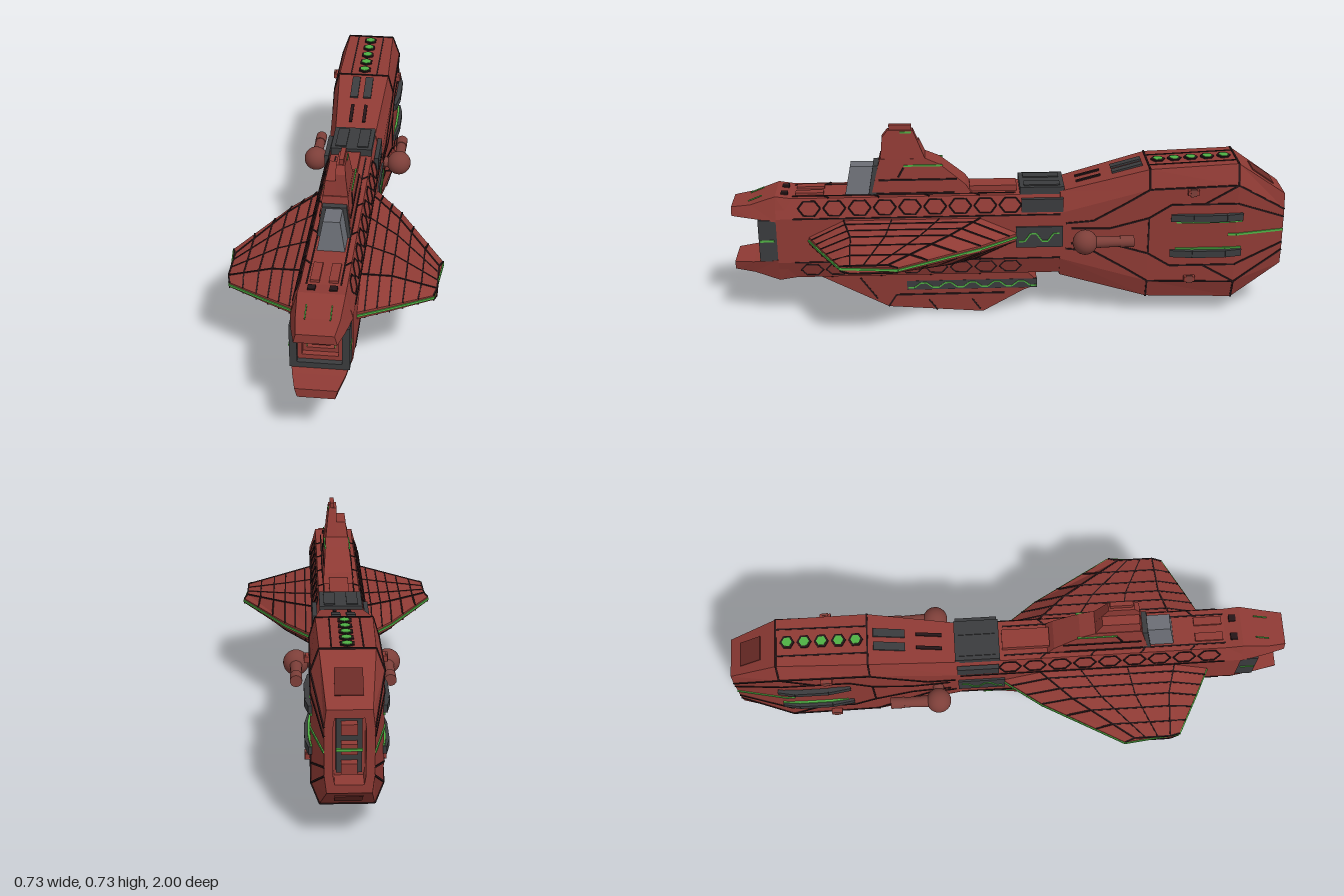
import * as THREE from 'three';
import { mergeGeometries } from 'three/addons/utils/BufferGeometryUtils.js';

const C = 0.325; // height of the hull axis; parts are built around it
const material = (name, color) => {
  const m = new THREE.MeshStandardMaterial({ color });
  m.name = name;
  return m;
};

// Flat-shaded copy whose faces point outwards
function flat(geo) {
  const g = geo.index ? geo.toNonIndexed() : geo.clone();
  g.deleteAttribute('uv');
  const p = g.attributes.position;
  const a = new THREE.Vector3(), b = new THREE.Vector3(), c = new THREE.Vector3();
  let volume = 0;
  for (let i = 0; i < p.count; i += 3) {
    a.fromBufferAttribute(p, i); b.fromBufferAttribute(p, i + 1); c.fromBufferAttribute(p, i + 2);
    volume += a.dot(b.cross(c));
  }
  if (volume < 0) for (let i = 0; i < p.count; i += 3) {
    b.fromBufferAttribute(p, i + 1); c.fromBufferAttribute(p, i + 2);
    p.setXYZ(i + 1, c.x, c.y, c.z); p.setXYZ(i + 2, b.x, b.y, b.z);
  }
  g.computeVertexNormals();
  return g;
}

// Closed skin through rings of [x, y, z] points
function loft(rings) {
  const pos = [], n = rings[0].length, last = rings[rings.length - 1];
  for (let i = 0; i < rings.length - 1; i++) for (let j = 0; j < n; j++) {
    const k = (j + 1) % n, r = rings[i], s = rings[i + 1];
    pos.push(...r[j], ...s[j], ...r[k], ...r[k], ...s[j], ...s[k]);
  }
  for (let j = 1; j < n - 1; j++) {
    pos.push(...rings[0][0], ...rings[0][j], ...rings[0][j + 1]);
    pos.push(...last[0], ...last[j + 1], ...last[j]);
  }
  const g = new THREE.BufferGeometry();
  g.setAttribute('position', new THREE.Float32BufferAttribute(pos, 3));
  return flat(g);
}
const octagon = (w, sy, cx, hy, z) =>
  [[w, -sy, z], [w, sy, z], [cx, hy, z], [-cx, hy, z], [-w, sy, z], [-w, -sy, z], [-cx, -hy, z], [cx, -hy, z]];

// Side profile of [z, y] points between x0 and x1, which are functions of y
function prism(profile, x0, x1) {
  const g = new THREE.ExtrudeGeometry(new THREE.Shape(profile.map(p => new THREE.Vector2(...p))),
    { depth: 1, bevelEnabled: false }).rotateY(-Math.PI / 2);
  const p = g.attributes.position;
  for (let i = 0; i < p.count; i++) {
    const y = p.getY(i), t = -p.getX(i);
    p.setXYZ(i, x0(y) + (x1(y) - x0(y)) * t, y - C, p.getZ(i));
  }
  return flat(g);
}
const taper = (yA, wA, yB, wB) => y => wA + (wB - wA) * (y - yA) / (yB - yA);

const box = (x, y, z, w, h, d) => flat(new THREE.BoxGeometry(w, h, d).translate(x, y, z));
// Box laid from point p to point q
function bar(p, q, w = 0.006, h = w) {
  const a = new THREE.Vector3(...p), b = new THREE.Vector3(...q);
  const m = new THREE.Matrix4().lookAt(a, b, new THREE.Vector3(0, 1, 0));
  m.setPosition(a.clone().add(b).multiplyScalar(0.5));
  return flat(new THREE.BoxGeometry(w, h, a.distanceTo(b)).applyMatrix4(m));
}
const line = (pts, w, h) => pts.slice(1).map((q, i) => bar(pts[i], q, w, h));
const zigzag = (n, f) => Array.from({ length: n }, (_, i) => f(i, [-1, -1, 1, 1][i % 4]));
const sides = list => list.flatMap(g => [g, flat(g.clone().scale(-1, 1, 1))]);
const quad = list => sides(list).flatMap(g => [g, flat(g.clone().scale(1, -1, 1))]);
function frame(w, h, iw, ih, z, d) {
  const rect = (P, a, b) => new P([[-a, -b], [a, -b], [a, b], [-a, b]].map(p => new THREE.Vector2(...p)));
  const s = rect(THREE.Shape, w, h);
  s.holes.push(rect(THREE.Path, iw, ih));
  return flat(new THREE.ExtrudeGeometry(s, { depth: d, bevelEnabled: false }).translate(0, 0, z));
}

export function createModel() {
  const red = material('hull red', 0x8e3a34), deep = material('deep red', 0x6a2a26);
  const dark = material('dark grey', 0x3a3b3d), seam = material('seam black', 0x241517);
  const green = material('glow green', 0x4fb044), glass = material('canopy grey', 0x6b6e75);
  const brown = material('turret brown', 0x7d3f39);
  const root = new THREE.Group(), ship = new THREE.Group();
  root.name = 'spaceship'; ship.name = 'ship'; ship.position.y = C;
  root.add(ship);
  const add = (name, mat, list) => {
    const m = new THREE.Mesh(Array.isArray(list) ? mergeGeometries(list) : list, mat);
    m.name = name;
    ship.add(m);
  };

  // Hull and rear block with a recessed stern
  add('mainHull', red, loft([octagon(0.1, 0.085, 0.075, 0.155, 0.84), octagon(0.1, 0.085, 0.075, 0.155, -0.22)]));
  add('rearHull', red, loft([octagon(0.1, 0.09, 0.075, 0.165, -0.18), octagon(0.115, 0.18, 0.095, 0.25, -0.5),
    octagon(0.115, 0.19, 0.088, 0.264, -0.82), octagon(0.077, 0.08, 0.07, 0.138, -1),
    octagon(0.05, 0.08, 0.045, 0.11, -1), octagon(0.05, 0.08, 0.045, 0.11, -0.93)]));
  add('engineCore', dark, [box(0, 0, -0.94, 0.08, 0.18, 0.03)]);
  add('engineBlocks', red, [-0.065, 0, 0.065].map(y => box(0, y, -0.96, 0.05, 0.035, 0.05)));
  add('engineGlow', green, [box(0, 0, -0.985, 0.08, 0.008, 0.01)]);
  add('sternHatches', deep, quad([bar([0.022, 0.223, -0.88], [0.022, 0.167, -0.96], 0.044, 0.006)]));

  // Bow prongs
  const prong = loft([
    [[-0.068, 0.09, 1], [0.068, 0.09, 1], [0.06, 0.122, 1], [-0.06, 0.122, 1]],
    [[-0.085, 0.085, 0.93], [0.085, 0.085, 0.93], [0.07, 0.132, 0.93], [-0.07, 0.132, 0.93]],
    [[-0.1, 0.075, 0.84], [0.1, 0.075, 0.84], [0.076, 0.164, 0.84], [-0.076, 0.164, 0.84]],
    [[-0.1, 0.075, 0.78], [0.1, 0.075, 0.78], [0.075, 0.155, 0.78], [-0.075, 0.155, 0.78]]]);
  add('bowProngs', red, [prong, flat(prong.clone().scale(1, -1, 1))]);
  add('prongLights', green, quad([bar([0.04, 0.136, 0.94], [0.04, 0.156, 0.89], 0.004)]));

  // Stepped bow cannon
  add('cannonFrame', dark, frame(0.096, 0.08, 0.072, 0.06, 0.83, 0.075));
  add('cannonLining', red, [frame(0.073, 0.061, 0.058, 0.044, 0.83, 0.055), frame(0.06, 0.046, 0.045, 0.03, 0.83, 0.035),
    box(0, 0, 0.85, 0.06, 0.045, 0.02)]);
  add('cannonBack', dark, box(0, 0, 0.842, 0.1, 0.07, 0.004));
  add('cannonLights', green, [box(0, 0.042, 0.885, 0.004, 0.03, 0.006),
    ...sides([box(0.097, 0, 0.875, 0.004, 0.008, 0.05), box(0.045, 0, 0.866, 0.003, 0.05, 0.004)])]);

  // Wings: thin rim, thick crest
  const wingRing = (xf, xr, xc, zf, zr, cf, cr, t, e) =>
    [[xf, e, zf], [xc, t, cf], [xc, t, cr], [xr, e, zr], [xr, -e, zr], [xc, -t, cr], [xc, -t, cf], [xf, -e, zf]];
  const wing = [wingRing(0.09, 0.09, 0.09, 0.73, -0.04, 0.6, 0.1, 0.078, 0.014),
    wingRing(0.2, 0.2, 0.2, 0.675, 0.11, 0.57, 0.22, 0.056, 0.012),
    wingRing(0.34, 0.362, 0.35, 0.6, 0.4, 0.565, 0.435, 0.015, 0.009)];
  add('wings', red, sides([loft(wing)]));
  const mix = (a, b, t) => a.map((v, i) => v + (b[i] - v) * t);
  const wingSeams = [];
  for (let i = 0; i < 2; i++) {
    for (const t of [0.3, 0.65, 1]) wingSeams.push(...line([0, 1, 2, 3].map(j => mix(wing[i][j], wing[i + 1][j], t)), 0.005));
    for (const j of [1, 2]) wingSeams.push(bar(wing[i][j], wing[i + 1][j], 0.005));
    for (const s of [0.35, 0.7]) wingSeams.push(bar(mix(wing[i][1], wing[i][2], s), mix(wing[i + 1][1], wing[i + 1][2], s), 0.004));
  }
  add('wingSeams', seam, quad(wingSeams));
  const rim = j => wing.map(r => [r[j][0], 0, r[j][2]]);
  add('wingEdgeLights', green, sides([...line(rim(0), 0.008), ...line(rim(3), 0.008), bar(rim(0)[2], rim(3)[2], 0.008)]));

  // Ventral keel
  const keelW = taper(0, 0.045, 0.17, 0.064);
  add('keel', red, prism([[0.72, 0.18], [0.7, 0.17], [0.45, 0.03], [0.1, 0], [-0.05, 0.09], [-0.1, 0.11], [-0.1, 0.13], [-0.05, 0.18]],
    y => -keelW(y), keelW));
  add('keelBands', dark, sides([box(0.057, 0.12 - C, 0.14, 0.008, 0.036, 0.48)]));
  add('keelLights', green, sides([
    ...line(zigzag(22, (i, s) => [0.061, 0.12 - C + s * 0.009, 0.375 - i * 0.0225]), 0.005),
    bar([0.038, 0.158 - C, 0.68], [0.026, 0.05 - C, 0.487], 0.005)]));
  add('keelSeams', seam, sides([...line([[0.048, 0.03 - C, 0.45], [0.054, 0.08 - C, 0.42], [0.054, 0.08 - C, 0.02]], 0.006),
    bar([0.051, 0.055 - C, 0.3], [0.046, 0.012 - C, 0.27]), bar([0.051, 0.055 - C, 0.14], [0.046, 0.01 - C, 0.11]),
    bar([0.052, 0.065 - C, 0.49], [0.062, 0.155 - C, 0.55])]));

  // Bridge tower, lopsided at the top
  const towerW = taper(0.48, 0.056, 0.61, 0.043), one = v => () => v;
  add('bridgeTower', red, [
    prism([[0.13, 0.47], [0.16, 0.515], [0.25, 0.59], [0.3, 0.612], [0.465, 0.612], [0.5, 0.47]], y => -towerW(y), towerW),
    prism([[0.3, 0.605], [0.345, 0.715], [0.435, 0.715], [0.455, 0.69], [0.462, 0.605]], one(0), taper(0.605, 0.043, 0.715, 0.03)),
    prism([[0.3, 0.605], [0.325, 0.665], [0.455, 0.665], [0.462, 0.605]], taper(0.605, -0.042, 0.665, -0.034), one(0.002)),
    box(0.017, 0.722 - C, 0.39, 0.016, 0.024, 0.08)]);
  add('towerLights', green, [...sides([box(0.046, 0.587 - C, 0.31, 0.006, 0.006, 0.14)]), box(0.031, 0.708 - C, 0.37, 0.004, 0.006, 0.04)]);
  add('towerSeams', seam, sides([bar([0.051, 0.535 - C, 0.19], [0.051, 0.535 - C, 0.47]),
    bar([0.05, 0.545 - C, 0.4], [0.046, 0.58 - C, 0.38]), bar([0.056, 0.485 - C, 0.2], [0.056, 0.485 - C, 0.48])]));
  add('canopyFrame', dark, prism([[0.45, 0.47], [0.45, 0.59], [0.49, 0.585], [0.51, 0.47]], taper(0.47, -0.058, 0.59, -0.04), taper(0.47, 0.058, 0.59, 0.04)));
  add('canopy', glass, prism([[0.46, 0.47], [0.475, 0.58], [0.572, 0.58], [0.592, 0.478], [0.58, 0.47]],
    taper(0.47, -0.048, 0.58, -0.028), taper(0.47, 0.048, 0.58, 0.028)));

  // Deck plates, vents and flank panels
  add('deckBlocks', red, [box(0, 0.163, 0.06, 0.07, 0.026, 0.17), ...sides([box(0.03, 0.158, 0.72, 0.03, 0.012, 0.1)])]);
  add('deckArmour', dark, [box(0, 0.164, -0.115, 0.15, 0.036, 0.16), ...sides([bar([0.092, 0.12, -0.04], [0.092, 0.12, -0.19], 0.016, 0.05),
    box(0.04, 0.18, -0.115, 0.04, 0.012, 0.13)])]);
  add('flankPanels', dark, sides([box(0.101, 0, -0.105, 0.012, 0.08, 0.17)]));
  add('flankLights', green, sides(line(zigzag(8, (i, s) => [0.108, s * 0.015, -0.03 - i * 0.021]), 0.005)));
  add('rampVents', dark, quad([bar([0.025, 0.216, -0.37], [0.025, 0.246, -0.48], 0.03, 0.012)]));
  add('deckHatches', seam, quad([box(0.035, 0.155, 0.81, 0.025, 0.022, 0.025),
    bar([0.025, 0.182, -0.24], [0.025, 0.206, -0.33], 0.012, 0.008)]));

  // Side louvres, thrusters and rear lights
  add('louvres', dark, quad(line([[0.114, 0.07, -0.58], [0.126, 0.07, -0.66], [0.126, 0.07, -0.78], [0.114, 0.07, -0.84]], 0.018, 0.026)));
  add('louvreLights', green, quad([...line([[0.114, 0.052, -0.6], [0.12, 0.052, -0.66], [0.12, 0.052, -0.78], [0.113, 0.052, -0.84]], 0.008, 0.006),
    bar([0.115, 0, -0.79], [0.115, 0, -0.82], 0.008), bar([0.115, 0, -0.82], [0.077, 0, -1], 0.008)]));
  add('thrusterNubs', red, quad([box(0.12, 0.17, -0.655, 0.026, 0.02, 0.04)]));
  add('thrusterTips', brown, quad([box(0.13, 0.17, -0.655, 0.008, 0.028, 0.022)]));
  const hexes = r => [0, 1, 2, 3, 4].flatMap(i => [1, -1].map(s =>
    flat(new THREE.CylinderGeometry(r, r, 0.008, 6).translate(0, s * (0.252 + i * 0.0026 + (0.03 - r) * 0.2), -0.54 - i * 0.06))));
  add('hexSockets', seam, hexes(0.026));
  add('hexLights', green, hexes(0.018));

  // Panel seams on the hull and rear block
  const chamfer = (f, z) => [0.1 - 0.025 * f, 0.085 + 0.07 * f, z];
  const seams = [bar([0.1, 0.085, 0.78], [0.1, 0.085, -0.18], 0.005), bar([0.055, 0.155, 0.78], [0.055, 0.155, -0.02], 0.005)];
  for (let i = 0; i < 9; i++) {
    const z = 0.76 - i * 0.09;
    seams.push(...line([[0.5, 0], [0.85, 0.02], [0.85, 0.06], [0.5, 0.08], [0.15, 0.06], [0.15, 0.02], [0.5, 0]]
      .map(([f, d]) => chamfer(f, z - d)), 0.005));
    if (i % 2) seams.push(bar([0.055, 0.155, z], [0.075, 0.155, z - 0.02], 0.005));
  }
  const flank = (y, z) => [z > -0.5 ? 0.1 + 0.015 * (-0.18 - z) / 0.32 : 0.115, y, z];
  seams.push(...line([flank(0.05, -0.2), flank(0.06, -0.3), flank(0.13, -0.42), flank(0.18, -0.5)]),
    ...line([flank(0, -0.5), flank(0.07, -0.5), flank(0.12, -0.58), flank(0.12, -0.7), flank(0.19, -0.82)]),
    ...line([flank(0.03, -0.22), flank(0.03, -0.36), flank(0.07, -0.5)]),
    ...line([[0.095, 0.25, -0.5], [0.115, 0.18, -0.5], [0.115, 0.19, -0.82], [0.088, 0.264, -0.82], [0, 0.264, -0.82]]),
    bar([0.115, 0.19, -0.82], [0.077, 0.08, -1]), bar([0.115, 0.12, -0.82], [0.077, 0.05, -1]),
    bar([0.115, 0.12, -0.7], [0.115, 0.12, -0.82]), bar([0, 0.25, -0.5], [0.095, 0.25, -0.5]),
    bar([0.05, 0.25, -0.5], [0.05, 0.264, -0.82], 0.005));
  add('hullSeams', seam, quad(seams));

  // Ball turrets with rear-facing barrels
  for (const s of [1, -1]) {
    const turret = new THREE.Group();
    turret.name = s > 0 ? 'leftTurret' : 'rightTurret';
    turret.position.set(s * 0.16, 0, -0.265);
    const piece = (name, geo) => { const m = new THREE.Mesh(geo, brown); m.name = name; turret.add(m); };
    piece('ball', new THREE.SphereGeometry(0.045, 24, 16));
    piece('barrel', new THREE.CylinderGeometry(0.017, 0.022, 0.13, 16).rotateX(-Math.PI / 2).translate(0, 0, -0.095));
    piece('muzzle', new THREE.CylinderGeometry(0.021, 0.021, 0.05, 16).rotateX(-Math.PI / 2).translate(0, 0, -0.15));
    piece('mount', new THREE.CylinderGeometry(0.02, 0.02, 0.07, 12).rotateZ(Math.PI / 2).translate(-s * 0.04, 0, 0));
    ship.add(turret);
  }
  return root;
}
